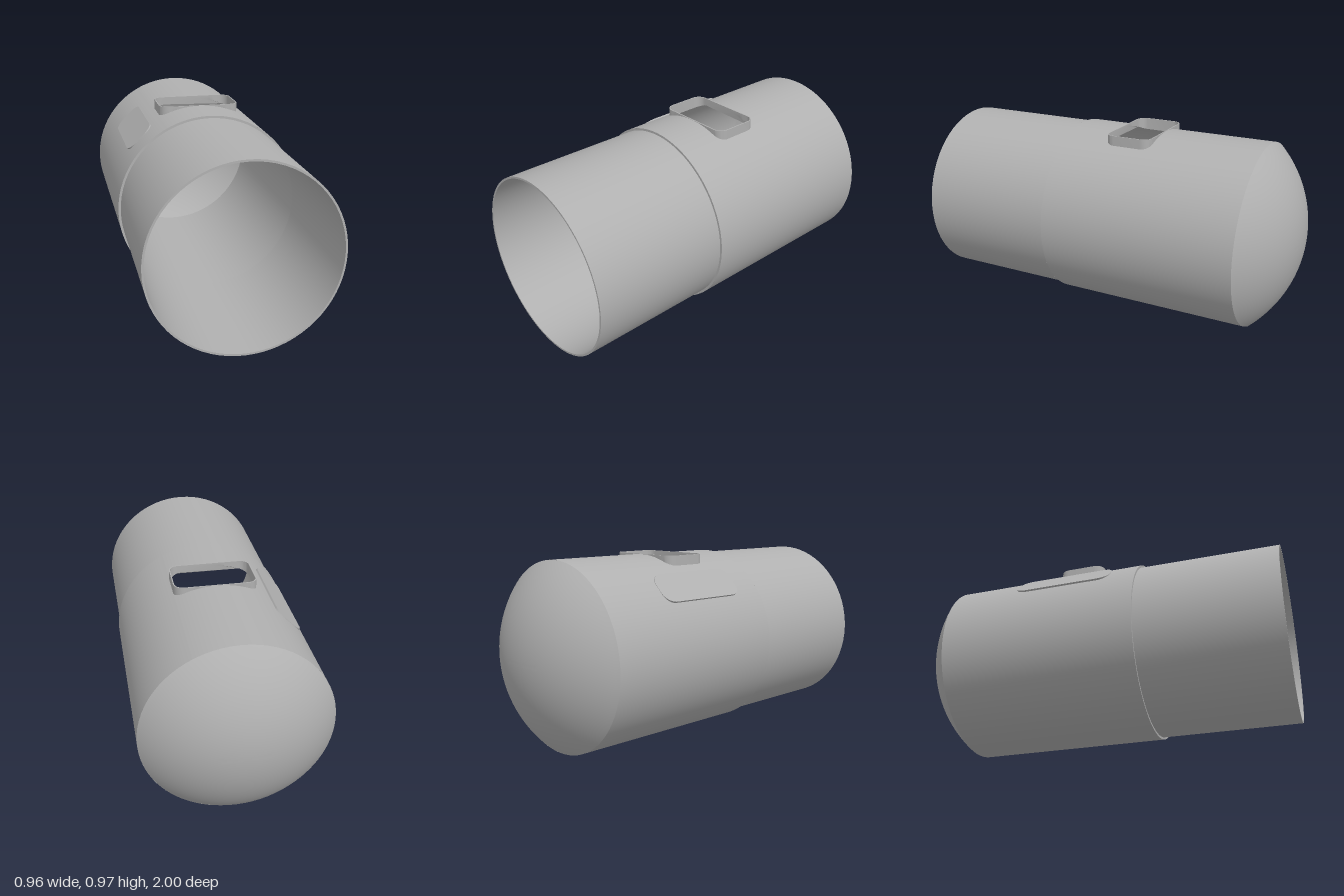
import * as THREE from 'three';
import { toCreasedNormals } from 'three/addons/utils/BufferGeometryUtils.js';

const CY = 0.482;                        // height of the capsule axis
const R = { body: 0.482, mid: 0.47, bore: 0.46 };
const Z = { front: 1, step: 0.26, seam: -0.79, back: -1 };
const SIDES = 72;
const WINDOW = { hw: 0.215, hd: 0.126, rc: 0.05, z: -0.104 };
const PAD = { hw: 0.088, hd: 0.268, rc: 0.065, z: -0.157 };

// Half depth of a rounded rectangle at x
function halfDepth({ hw, hd, rc }, x) {
  const d = Math.max(0, Math.abs(x) - (hw - rc));
  return hd - rc + Math.sqrt(Math.max(0, rc * rc - d * d));
}

// x samples that crowd towards the rounded ends
const N = 40;
const samples = (hw) => Array.from({ length: N + 1 }, (_, i) => hw * Math.sin((i / N - 0.5) * Math.PI));

function outline(rect) {
  const xs = samples(rect.hw);
  const far = xs.map((x) => new THREE.Vector2(x, -halfDepth(rect, x)));
  const near = xs.map((x) => new THREE.Vector2(x, halfDepth(rect, x))).reverse();
  return [...far, ...near];
}

// Lathe around the z axis from [radius, z] pairs
function turned(pairs, start = 0, length = Math.PI * 2) {
  const points = pairs.map(([r, z]) => new THREE.Vector2(r, z));
  return toCreasedNormals(new THREE.LatheGeometry(points, SIDES, start, length).rotateX(Math.PI / 2), 0.5);
}

// Body wall outside the window's width
function wallAround(r, inside) {
  const a = Math.asin(WINDOW.hw / r);
  const ends = [[r, Z.seam], [r, Z.step]];
  return turned(inside ? ends.reverse() : ends, Math.PI + a, Math.PI * 2 - 2 * a);
}

// Curved strip of wall in front of (side 1) or behind (side -1) the window
function wallStrip(r, side, inside) {
  const geo = new THREE.PlaneGeometry(1, 1, N, 1);
  const { position, normal } = geo.attributes;
  const xs = samples(WINDOW.hw);
  const s = inside ? -1 : 1;
  for (let i = 0; i < position.count; i++) {
    const x = s * xs[i % (N + 1)];
    const y = Math.sqrt(r * r - x * x);
    const backRow = i <= N;
    const edge = WINDOW.z + side * halfDepth(WINDOW, x);
    const z = side > 0 ? (backRow ? edge : Z.step) : (backRow ? Z.seam : edge);
    position.setXYZ(i, x, y, z);
    normal.setXYZ(i, s * x / r, s * y / r, 0);
  }
  return geo;
}

// Points of a spherical cap from the rim to the pole
function capProfile(rim, height) {
  const radius = (rim * rim + height * height) / (2 * height);
  const sweep = Math.asin(rim / radius);
  return Array.from({ length: 25 }, (_, i) => {
    const a = sweep * (1 - i / 24);
    return [radius * Math.sin(a), Z.seam - height + radius * (1 - Math.cos(a))];
  });
}

// Upright slab with a rounded outline, rising to a flat top
function slab(shape, depth, top, z) {
  return new THREE.ExtrudeGeometry(shape, { depth, bevelEnabled: false })
    .rotateX(-Math.PI / 2).translate(0, top - depth, z);
}

export function createModel() {
  const model = new THREE.Group();
  model.name = 'capsule';
  const grey = new THREE.MeshStandardMaterial({ color: 0xb0b0b0, side: THREE.DoubleSide });
  grey.name = 'plain grey';
  const add = (name, geo, parent = model) => {
    const mesh = new THREE.Mesh(geo, grey);
    mesh.name = name;
    parent.add(mesh);
    return mesh;
  };

  // Narrow open sleeve at the front
  add('frontSleeve', turned([
    [R.bore, Z.front], [R.bore, Z.step], [R.mid, Z.step], [R.mid, Z.front], [R.bore, Z.front],
  ]));

  // Wider body shell with the window cut through its top
  const body = new THREE.Group();
  body.name = 'bodyShell';
  model.add(body);
  for (const [r, inside] of [[R.body, false], [R.mid, true]]) {
    const label = inside ? 'inner' : 'outer';
    add(`${label}Wall`, wallAround(r, inside), body);
    add(`${label}FrontStrip`, wallStrip(r, 1, inside), body);
    add(`${label}BackStrip`, wallStrip(r, -1, inside), body);
  }
  add('stepRing', new THREE.RingGeometry(R.mid, R.body, SIDES).translate(0, 0, Z.step), body);

  // Hollow domed end
  const outer = capProfile(R.body, Z.seam - Z.back);
  const inner = capProfile(R.mid, Z.seam - Z.back - 0.01);
  add('domeOuter', turned(outer.reverse()));
  add('domeInner', turned(inner));

  // Thin window collar: flat on top, its foot follows the bore
  const t = 0.006;
  const ring = new THREE.Shape(outline(WINDOW));
  ring.holes.push(new THREE.Path(
    outline({ hw: WINDOW.hw - t, hd: WINDOW.hd - t, rc: WINDOW.rc - t }).reverse()));
  const collar = slab(ring, 0.1, 0.483, WINDOW.z);
  const p = collar.attributes.position;
  for (let i = 0; i < p.count; i++) {
    if (p.getY(i) < 0.45) p.setY(i, Math.sqrt(R.mid ** 2 - p.getX(i) ** 2));
  }
  add('windowCollar', toCreasedNormals(collar, 0.5));

  // Flat pad on the upper right flank
  const pad = slab(new THREE.Shape(outline(PAD)), 0.011, 0.483, PAD.z);
  add('sidePad', toCreasedNormals(pad, 0.5)).rotation.z = Math.PI / 4;

  for (const part of model.children) part.position.y = CY;
  return model;
}
